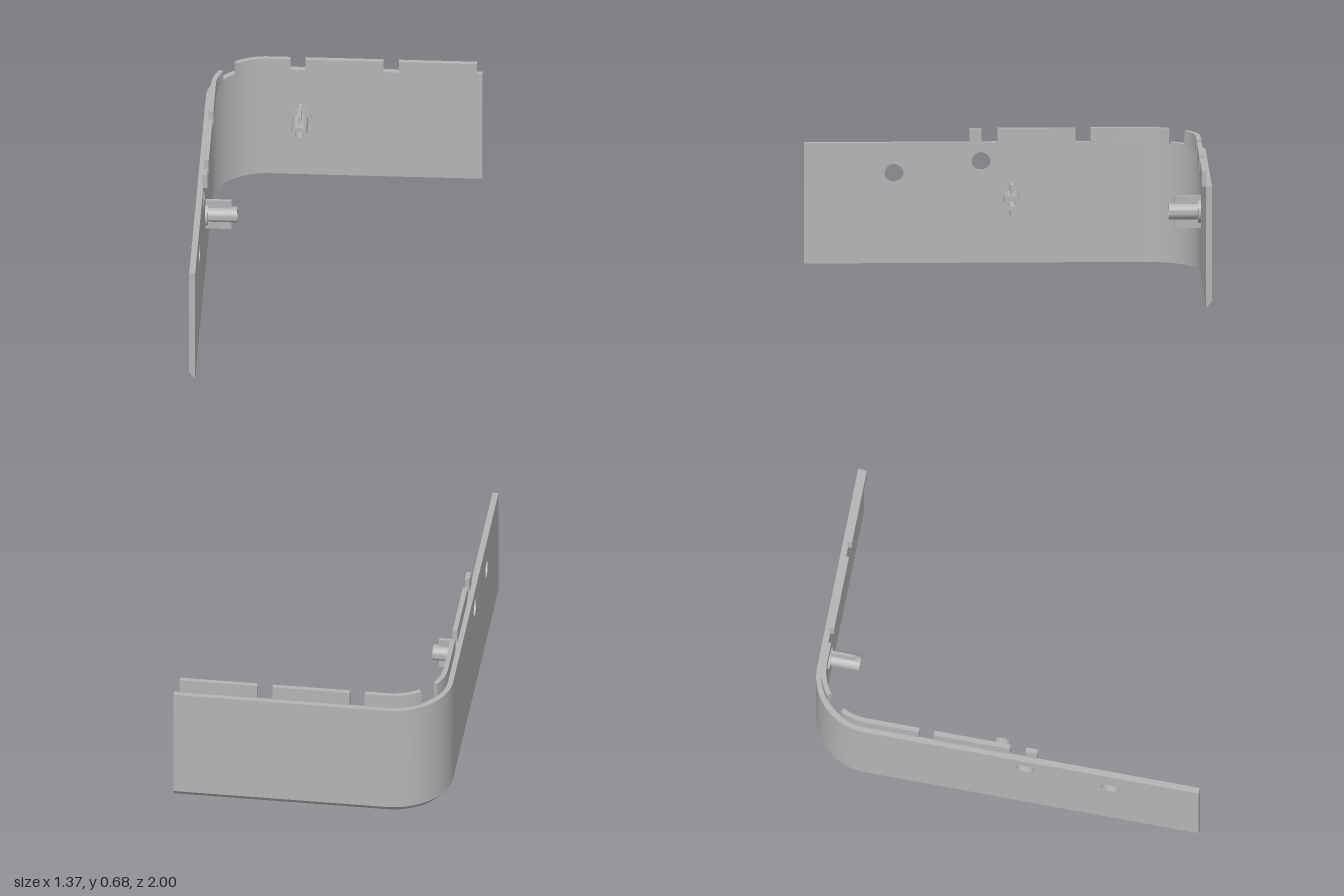
import * as THREE from 'three';
import { toCreasedNormals } from 'three/addons/utils/BufferGeometryUtils.js';

const OUT_X = -0.685, OUT_Z = -1, R = 0.3, T = 0.03, TOP = 0.61, CHAMFER = 0.03;
const CX = OUT_X + R, CZ = OUT_Z + R; // centre of the rounded corner

// Stations along the outer line of the wall: position and inward direction
const onLeft = z => ({ x: OUT_X, z, nx: 1, nz: 0 });
const onBack = x => ({ x, z: OUT_Z, nx: 0, nz: 1 });
function arc(fromDeg, toDeg) {
  const n = Math.ceil(Math.abs(toDeg - fromDeg) / 3);
  return Array.from({ length: n + 1 }, (_, i) => {
    const a = THREE.MathUtils.degToRad(fromDeg + (toDeg - fromDeg) * i / n);
    const nx = Math.cos(a), nz = Math.sin(a);
    return { x: CX - R * nx, z: CZ - R * nz, nx, nz };
  });
}

// Sweeps a convex section of [inward offset, height] points along the stations
function sweep(stations, section) {
  const pos = [];
  const n = section.length;
  const rings = stations.map(s => section.map(([d, y]) => [s.x + s.nx * d, y, s.z + s.nz * d]));
  const tri = (a, b, c) => pos.push(...a, ...b, ...c);
  for (let i = 0; i < rings.length - 1; i++) {
    for (let j = 0; j < n; j++) {
      const k = (j + 1) % n, p = rings[i], q = rings[i + 1];
      tri(p[j], q[j], q[k]);
      tri(p[j], q[k], p[k]);
    }
  }
  const first = rings[0], last = rings[rings.length - 1];
  for (let j = 1; j < n - 1; j++) {
    tri(first[0], first[j], first[j + 1]);
    tri(last[0], last[j + 1], last[j]);
  }
  const geo = new THREE.BufferGeometry();
  geo.setAttribute('position', new THREE.Float32BufferAttribute(pos, 3));
  return toCreasedNormals(geo, 0.4);
}

export function createModel() {
  const model = new THREE.Group();
  model.name = 'cornerPanel';
  const grey = new THREE.MeshStandardMaterial({ color: 0xb4b4b4 });
  grey.name = 'grey';
  const add = (name, geo, parent = model) => {
    const mesh = new THREE.Mesh(geo, grey);
    mesh.name = name;
    parent.add(mesh);
    return mesh;
  };

  // Rounded corner and back wall, with the outer bottom edge chamfered
  add('cornerAndBackWall', sweep([...arc(0, 90), onBack(-OUT_X)],
    [[0.025, 0], [T, 0], [T, TOP], [0, TOP], [0, CHAMFER]]));

  // Side wall: chamfered foot and a plate with two round holes
  add('sideWallFoot', sweep([onLeft(1), onLeft(CZ)],
    [[0.025, 0], [T, 0], [T, CHAMFER], [0, CHAMFER]]));
  const plate = new THREE.Shape();
  plate.moveTo(-1, CHAMFER);
  plate.lineTo(-CZ, CHAMFER);
  plate.lineTo(-CZ, TOP);
  plate.lineTo(-1, TOP);
  plate.closePath();
  for (const [z, y] of [[0.55, 0.455], [0.115, 0.513]]) {
    plate.holes.push(new THREE.Path().absarc(-z, y, 0.047, 0, Math.PI * 2, true));
  }
  const plateGeo = new THREE.ExtrudeGeometry(plate, { depth: T, bevelEnabled: false, curveSegments: 32 });
  add('sideWall', toCreasedNormals(plateGeo.rotateY(Math.PI / 2).translate(OUT_X, 0, 0), 0.4));

  // Tabs standing along the inner top edge
  const tabSection = [[0.026, 0.605], [0.05, 0.605], [0.05, 0.683], [0.026, 0.683]];
  const tabs = [
    [onLeft(0.173), onLeft(0.113)],
    [onLeft(0.035), onLeft(-0.355)],
    [onLeft(-0.43), ...arc(0, 29)],
    [...arc(52, 90), onBack(-0.275)],
    [onBack(-0.2), onBack(0.19)],
    [onBack(0.267), onBack(0.657)],
  ];
  tabs.forEach((t, i) => add(`tab${i + 1}`, sweep(t, tabSection)));

  // Hollow screw posts with a base collar and two fins, pointing along local +z
  const profile = [[0.057, 0], [0.057, 0.014], [0.04, 0.014], [0.04, 0.16], [0.02, 0.16], [0.02, 0.002], [0, 0.002]]
    .map(([r, h]) => new THREE.Vector2(r, h));
  const postGeo = toCreasedNormals(new THREE.LatheGeometry(profile, 32).rotateX(Math.PI / 2), 0.4);
  const finGeo = new THREE.BoxGeometry(0.015, 0.05, 0.13);
  function post(name, x, z, turn) {
    const g = new THREE.Group();
    g.name = name;
    add('postTube', postGeo, g);
    for (const s of [-1, 1]) add('postFin', finGeo, g).position.set(0, s * 0.057, 0.065);
    g.position.set(x, 0.328, z);
    g.rotation.y = turn;
    model.add(g);
  }
  post('sidePost', OUT_X + T, -0.035, Math.PI / 2);
  post('backPost', -0.225, OUT_Z + T, 0);

  return model;
}
